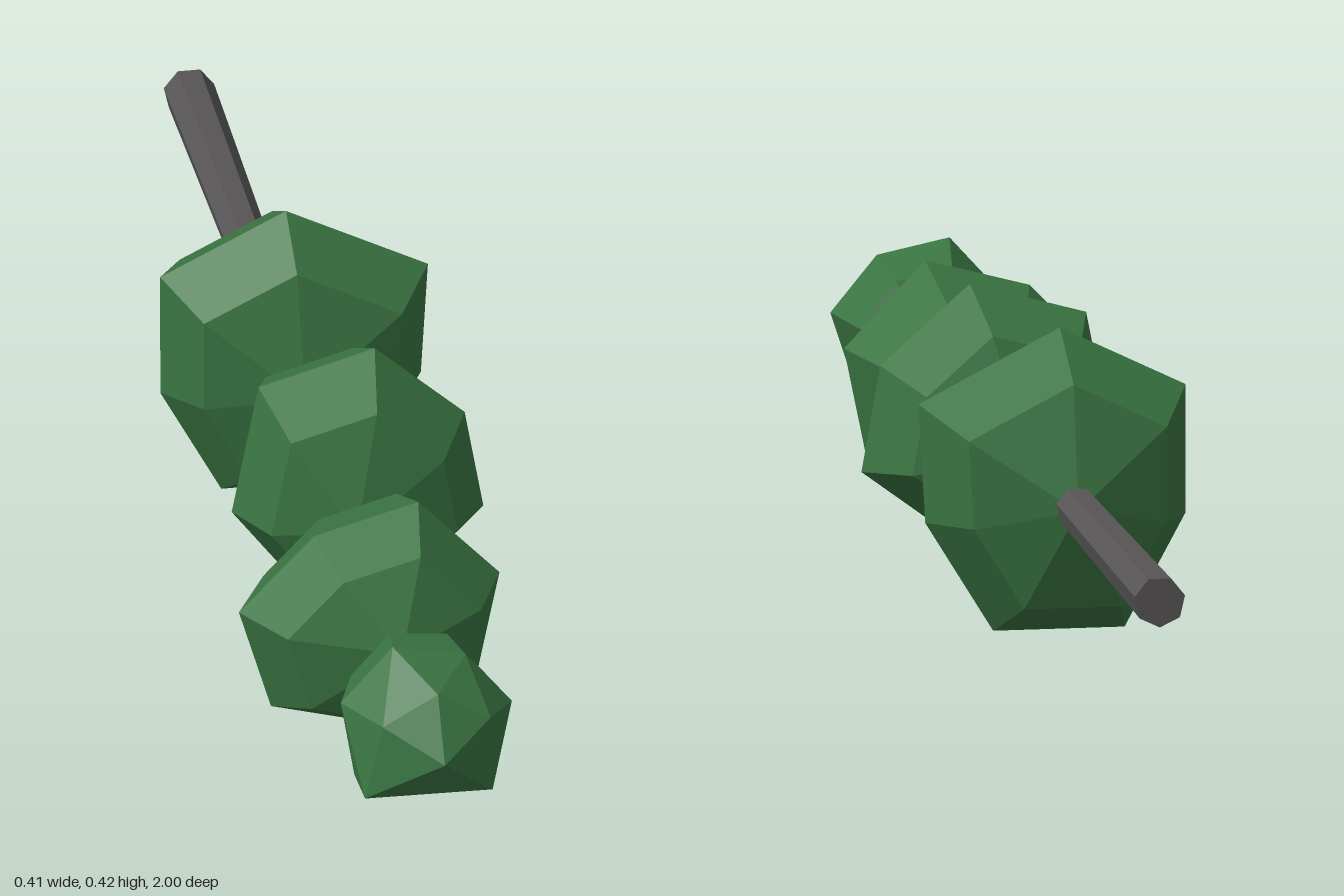
import * as THREE from 'three';
import { ConvexGeometry } from 'three/addons/geometries/ConvexGeometry.js';

const AXIS_Y = 0.205;
const foliage = new THREE.MeshStandardMaterial({ color: 0x3a7542, flatShading: true });
const bark = new THREE.MeshStandardMaterial({ color: 0x565454, flatShading: true });

// point at [degrees, radius] around the trunk axis
const polar = ([deg, r], z, k = 1) => {
  const a = THREE.MathUtils.degToRad(deg);
  return new THREE.Vector3(Math.cos(a) * r * k, AXIS_Y + Math.sin(a) * r * k, z);
};

// faceted clump: two poles and stacked rings of [z, scale, points]
function clump(name, back, front, rings) {
  const points = [back, front].map((z) => new THREE.Vector3(0, AXIS_Y - 0.004, z));
  for (const [z, k, ring] of rings) for (const p of ring) points.push(polar(p, z, k));
  const mesh = new THREE.Mesh(new ConvexGeometry(points), foliage);
  mesh.name = name;
  return mesh;
}

// seven-sided clump with a wide middle ring and two smaller ones
const roundClump = (name, back, front, mid, ring) => clump(name, back, front, [
  [back + (front - back) * 0.17, 0.74, ring],
  [mid, 1, ring],
  [front - (front - back) * 0.17, 0.74, ring],
]);

export function createModel() {
  const group = new THREE.Group();

  // tapered trunk lying along z
  const trunk = new THREE.Mesh(new THREE.CylinderGeometry(0.018, 0.036, 1.8, 7), bark);
  trunk.name = 'trunk';
  trunk.rotation.x = Math.PI / 2;
  trunk.position.set(0, AXIS_Y, -0.1);
  group.add(trunk);

  // foliage clumps from base to tip
  group.add(
    roundClump('baseFoliage', -0.38, -0.09, -0.22, [
      [91, 0.222], [32, 0.229], [-14, 0.19], [-66, 0.22], [-115, 0.223], [-166, 0.185], [143, 0.225]]),
    roundClump('lowerFoliage', 0.01, 0.31, 0.165, [
      [76, 0.211], [28, 0.2], [-15, 0.21], [-64, 0.168], [-115, 0.155], [-168, 0.152], [125, 0.194]]),
    roundClump('upperFoliage', 0.38, 0.67, 0.535, [
      [74, 0.166], [14, 0.164], [-41, 0.17], [-93, 0.18], [-139, 0.212], [177, 0.205], [130, 0.156]]),
    clump('tipFoliage', 0.73, 1, [
      [0.945, 1, [[90, 0.078], [26, 0.082], [-45, 0.108], [-144, 0.126], [156, 0.084]]],
      [0.87, 1, [[113, 0.128], [62, 0.11], [9, 0.118], [-42, 0.115], [-93, 0.115], [-144, 0.128], [163, 0.128]]],
      [0.775, 0.76, [[113, 0.125], [62, 0.12], [9, 0.125], [-42, 0.12], [-93, 0.125], [-144, 0.125], [163, 0.125]]],
    ]),
  );
  return group;
}
